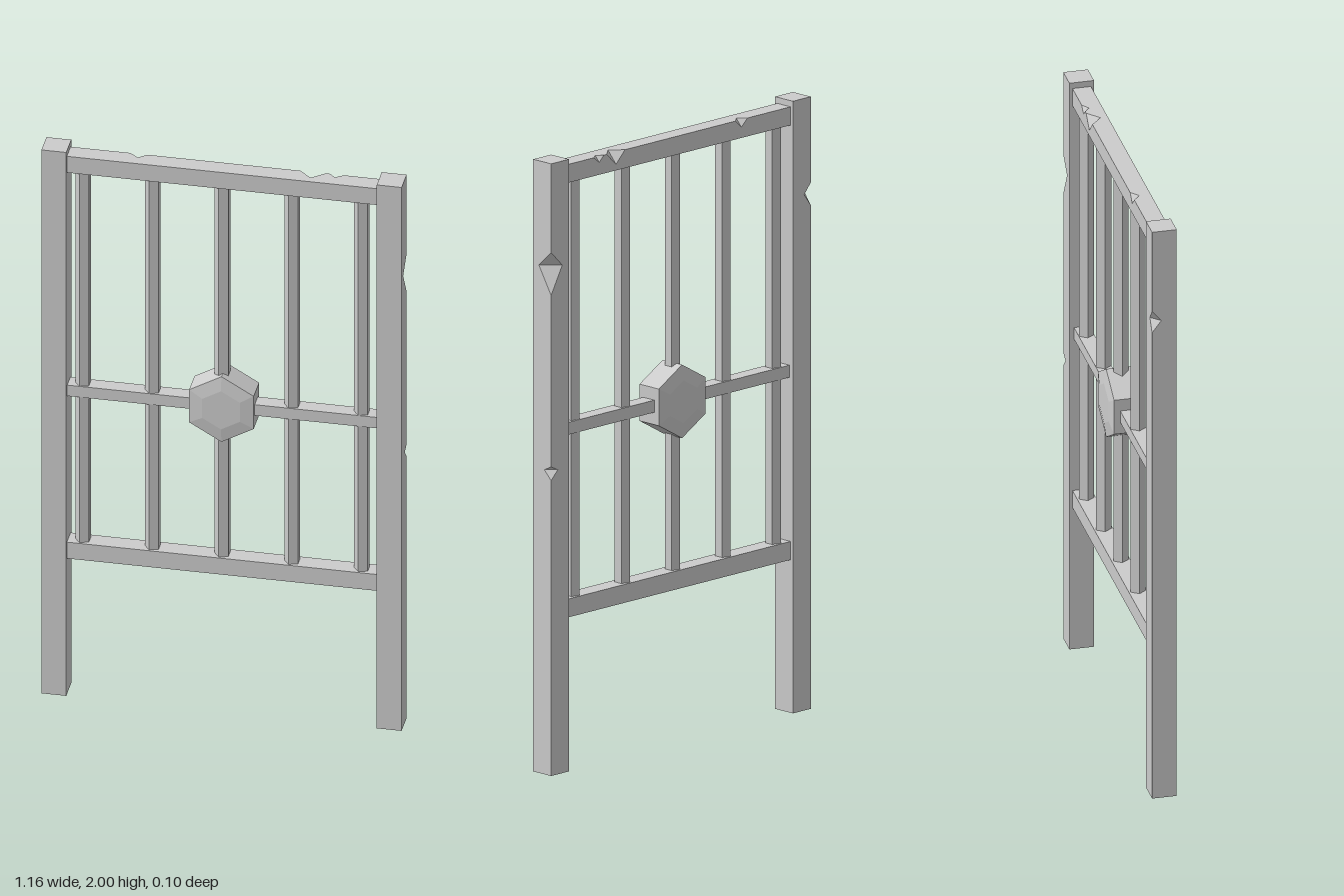
import * as THREE from 'three';

const material = new THREE.MeshStandardMaterial({ color: 0xcccccc, flatShading: true });

function addMesh(parent, name, geometry, x = 0, y = 0, z = 0) {
  const mesh = new THREE.Mesh(geometry, material);
  mesh.name = name;
  mesh.position.set(x, y, z);
  parent.add(mesh);
  return mesh;
}

// Square beam with wedge-shaped chips along one edge (u = 0, v = 0).
// t runs along the beam, u and v run inwards from the chipped edge,
// place(u, v, t) returns the position in the model.
// Each chip: [start, end, deepest point along t, depth in u, depth in v]
function chippedBeam(width, depth, t0, t1, chips, place) {
  const positions = [];
  const tri = (p, q, r, toward) => {
    const [a, b, c, d] = [p, q, r, toward].map((k) => place(...k));
    const n = b.clone().sub(a).cross(c.clone().sub(a));
    const order = n.dot(d.sub(a)) > 0 ? [a, b, c] : [a, c, b];
    order.forEach((k) => positions.push(k.x, k.y, k.z));
  };
  const quad = (a, b, c, d, toward) => {
    tri(a, b, c, toward);
    tri(a, c, d, toward);
  };

  // the two faces that share the chipped edge
  const notchedFace = (size, depthIndex, lift, toward) => {
    const outline = [new THREE.Vector2(0, t0)];
    chips.forEach((c) => outline.push(
      new THREE.Vector2(0, c[0]), new THREE.Vector2(c[depthIndex], c[2]), new THREE.Vector2(0, c[1])));
    outline.push(new THREE.Vector2(0, t1), new THREE.Vector2(size, t1), new THREE.Vector2(size, t0));
    THREE.ShapeUtils.triangulateShape(outline, []).forEach((f) =>
      tri(...f.map((i) => lift(outline[i].x, outline[i].y)), toward));
  };
  notchedFace(width, 3, (s, t) => [s, 0, t], [0, -1, 0]);
  notchedFace(depth, 4, (s, t) => [0, s, t], [-1, 0, 0]);

  // the two plain faces and the ends
  quad([width, 0, t0], [width, depth, t0], [width, depth, t1], [width, 0, t1], [9, 0, 0]);
  quad([0, depth, t0], [width, depth, t0], [width, depth, t1], [0, depth, t1], [0, 9, 0]);
  for (const [t, toward] of [[t0, -9], [t1, 9]]) {
    quad([0, 0, t], [width, 0, t], [width, depth, t], [0, depth, t], [0, 0, toward]);
  }

  // inside of the chips
  for (const [start, end, mid, du, dv] of chips) {
    const a = [0, 0, start], b = [0, 0, end], onU = [du, 0, mid], onV = [0, dv, mid];
    tri(a, onU, onV, b);
    tri(b, onU, onV, a);
  }

  const geometry = new THREE.BufferGeometry();
  geometry.setAttribute('position', new THREE.Float32BufferAttribute(positions, 3));
  geometry.computeVertexNormals();
  return geometry;
}

export function createModel() {
  const gate = new THREE.Group();
  gate.name = 'barredGate';

  // posts, chipped on the outer back edge
  const postChips = {
    left: [[0.965, 1.01, 0.995, 0.03, 0.03], [1.57, 1.71, 1.66, 0.05, 0.055]],
    right: [[1.645, 1.72, 1.685, 0.03, 0.03]],
  };
  for (const [side, sign] of [['left', 1], ['right', -1]]) {
    addMesh(gate, side + 'Post', chippedBeam(0.08, 0.08, 0, 2, postChips[side],
      (u, v, t) => new THREE.Vector3(sign * (0.58 - u), t, v - 0.04)));
  }

  // top rail, chipped on the upper back edge
  const railChips = [
    [-0.307, -0.253, -0.28, 0.025, 0.023],
    [0.24, 0.322, 0.28, 0.04, 0.036],
    [0.335, 0.38, 0.355, 0.02, 0.018],
  ];
  addMesh(gate, 'topRail', chippedBeam(0.06, 0.06, -0.5, 0.5, railChips,
    (u, v, t) => new THREE.Vector3(t, 1.98 - u, v - 0.03)));

  // plain rails
  addMesh(gate, 'middleRail', new THREE.BoxGeometry(1, 0.04, 0.05), 0, 1.115, 0);
  addMesh(gate, 'bottomRail', new THREE.BoxGeometry(1, 0.06, 0.06), 0, 0.53, 0);

  // five-sided upright bars
  const barGeometry = new THREE.CylinderGeometry(0.026, 0.026, 1.38, 5, 1, true);
  barGeometry.rotateY(-Math.PI / 2);
  for (let i = -2; i <= 2; i++) {
    addMesh(gate, 'bar' + (i + 3), barGeometry, i * 0.2245 - 0.004, 1.24, 0);
  }

  // six-sided boss with bevelled faces
  const profile = [[0, -0.05], [0.07, -0.05], [0.12, -0.043], [0.12, 0.043], [0.07, 0.05], [0, 0.05]]
    .map(([r, h]) => new THREE.Vector2(r, h));
  const bossGeometry = new THREE.LatheGeometry(profile, 6);
  bossGeometry.rotateX(Math.PI / 2);
  addMesh(gate, 'centreBoss', bossGeometry, 0, 1.115, -0.002);

  return gate;
}
